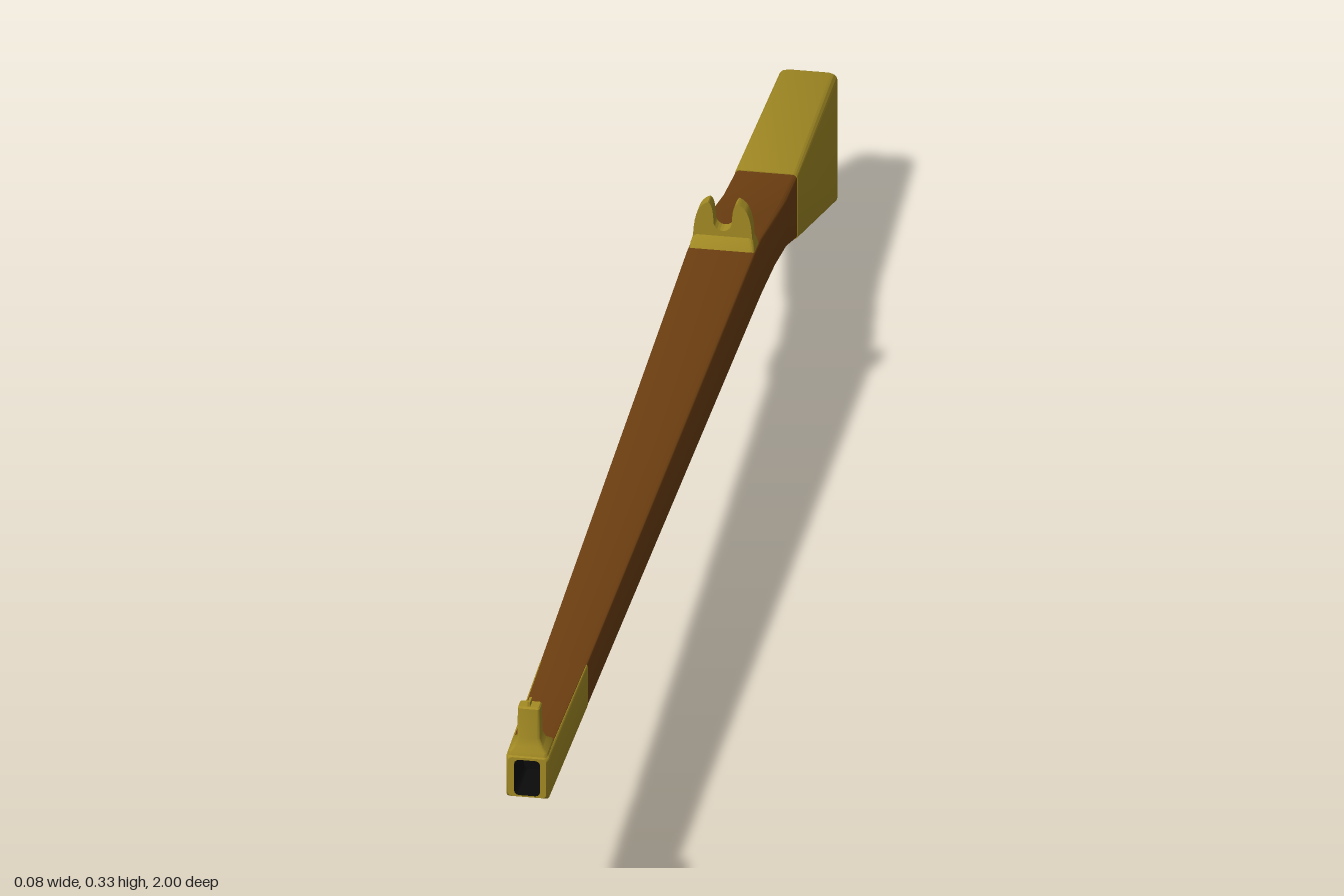
import * as THREE from 'three';
import { toCreasedNormals } from 'three/addons/utils/BufferGeometryUtils.js';

const mat = (name, color, side = THREE.FrontSide) => {
  const m = new THREE.MeshStandardMaterial({ color, side });
  m.name = name;
  return m;
};

// Loft of rounded rectangles; each section is [z, bottom, top, halfWidth, cornerRadius]
function loft(sections, capStart = true, capEnd = true) {
  const steps = 3, n = 4 * (steps + 1), pos = [], idx = [];
  for (const [z, b, t, w, r] of sections) {
    const corners = [[w - r, t - r], [r - w, t - r], [r - w, b + r], [w - r, b + r]];
    corners.forEach(([cx, cy], q) => {
      for (let i = 0; i <= steps; i++) {
        const a = (q + i / steps) * Math.PI / 2;
        pos.push(cx + r * Math.cos(a), cy + r * Math.sin(a), z);
      }
    });
  }
  for (let s = 0; s < sections.length - 1; s++) {
    for (let i = 0; i < n; i++) {
      const a = s * n + i, b = s * n + (i + 1) % n;
      idx.push(a, b, b + n, a, b + n, a + n);
    }
  }
  const last = (sections.length - 1) * n;
  for (let i = 1; i < n - 1; i++) {
    if (capStart) idx.push(0, i + 1, i);
    if (capEnd) idx.push(last, last + i, last + i + 1);
  }
  const g = new THREE.BufferGeometry();
  g.setAttribute('position', new THREE.Float32BufferAttribute(pos, 3));
  g.setIndex(idx);
  return toCreasedNormals(g, 0.6);
}

// Loft running upward; each section is [y, zMin, zMax, halfWidth, cornerRadius]
const upLoft = (sections) =>
  loft(sections.map(([y, z0, z1, w, r]) => [y, -z1, -z0, w, r])).rotateX(-Math.PI / 2);

// Side profile in (z, y), extruded across x
function sideExtrude(shape, width) {
  const bevel = 0.002;
  const g = new THREE.ExtrudeGeometry(shape, {
    depth: width - 2 * bevel, bevelThickness: bevel, bevelSize: bevel,
    bevelOffset: -bevel, bevelSegments: 1, curveSegments: 8,
  });
  g.translate(0, 0, bevel - width / 2).rotateY(-Math.PI / 2);
  return toCreasedNormals(g, 0.7);
}

const points = (list) => list.map(([x, y]) => new THREE.Vector2(x, y));

export function createModel() {
  const wood = mat('brown wood', 0x6e3f11);
  const brass = mat('brass', 0xa38b24);
  const black = mat('bore black', 0x0b0b0b);
  const model = new THREE.Group();
  const add = (name, geometry, material) => {
    const mesh = new THREE.Mesh(geometry, material);
    mesh.name = name;
    model.add(mesh);
    return mesh;
  };

  // Wooden stock, from wrist to fore end
  add('stock', loft([
    [-0.69, 0.107, 0.194, 0.038, 0.005],
    [-0.61, 0.136, 0.204, 0.039, 0.005],
    [-0.52, 0.157, 0.224, 0.041, 0.005],
    [-0.42, 0.17, 0.247, 0.042, 0.005],
    [-0.37, 0.173, 0.251, 0.042, 0.005],
    [0.74, 0.203, 0.261, 0.029, 0.003],
  ]), wood);

  // Brass butt with softened rear edges
  add('butt', loft([
    [-1, 0.01, 0.17, 0.029, 0.006],
    [-0.997, 0.004, 0.175, 0.033, 0.009],
    [-0.988, 0.002, 0.179, 0.036, 0.009],
    [-0.69, 0.106, 0.195, 0.0385, 0.005],
  ]), brass);

  // Brass muzzle with its rim, then the dark bore
  add('muzzle', loft([
    [0.74, 0.203, 0.261, 0.0295, 0.003],
    [0.994, 0.208, 0.267, 0.0265, 0.004],
    [1, 0.211, 0.264, 0.0235, 0.005],
    [1, 0.213, 0.261, 0.016, 0.006],
  ], true, false), brass);
  add('bore', loft([
    [1, 0.213, 0.261, 0.016, 0.006],
    [0.93, 0.213, 0.259, 0.016, 0.006],
  ], false, true), black);

  // Wooden strip along the top of the muzzle
  add('topStrip', loft([
    [0.739, 0.2595, 0.2615, 0.0275, 0.0005],
    [0.975, 0.265, 0.267, 0.024, 0.0005],
  ]), wood);

  // Front sight: flared foot, post and bead
  add('frontSight', upLoft([
    [0.26, 0.945, 0.998, 0.0255, 0.004],
    [0.27, 0.952, 0.997, 0.024, 0.004],
    [0.277, 0.962, 0.994, 0.018, 0.004],
    [0.288, 0.968, 0.992, 0.014, 0.003],
    [0.326, 0.97, 0.99, 0.0135, 0.003],
    [0.328, 0.972, 0.988, 0.012, 0.002],
  ]), brass);
  add('frontBead', new THREE.BoxGeometry(0.003, 0.008, 0.014).translate(0, 0.33, 0.98), brass);

  // Rear sight: flared foot and a plate with a U notch
  add('rearSightFoot', upLoft([
    [0.24, -0.412, -0.37, 0.041, 0.004],
    [0.256, -0.406, -0.376, 0.039, 0.004],
    [0.266, -0.4, -0.382, 0.036, 0.004],
  ]), brass);
  const ears = new THREE.Shape();
  ears.moveTo(-0.037, 0.25);
  ears.lineTo(0.037, 0.25);
  ears.bezierCurveTo(0.036, 0.29, 0.032, 0.305, 0.018, 0.311);
  ears.bezierCurveTo(0.013, 0.308, 0.012, 0.3, 0.011, 0.282);
  ears.bezierCurveTo(0.008, 0.27, -0.008, 0.27, -0.011, 0.282);
  ears.bezierCurveTo(-0.012, 0.3, -0.013, 0.308, -0.018, 0.311);
  ears.bezierCurveTo(-0.032, 0.305, -0.036, 0.29, -0.037, 0.25);
  const earPlate = new THREE.ExtrudeGeometry(ears, { depth: 0.018, bevelEnabled: false, curveSegments: 8 });
  add('rearSight', toCreasedNormals(earPlate.translate(0, 0, -0.4), 0.6), brass);

  // Trigger guard loop
  const guard = new THREE.Shape();
  guard.moveTo(-0.405, 0.178);
  guard.splineThru(points([[-0.414, 0.158], [-0.418, 0.135], [-0.435, 0.112], [-0.475, 0.099],
    [-0.515, 0.096], [-0.54, 0.102], [-0.558, 0.122], [-0.572, 0.152]]));
  guard.lineTo(-0.405, 0.178);
  const opening = new THREE.Path();
  opening.moveTo(-0.428, 0.16);
  opening.splineThru(points([[-0.43, 0.138], [-0.448, 0.121], [-0.48, 0.11],
    [-0.515, 0.107], [-0.534, 0.114], [-0.545, 0.13], [-0.546, 0.141]]));
  opening.lineTo(-0.428, 0.16);
  guard.holes.push(opening);
  add('triggerGuard', sideExtrude(guard, 0.031), brass);

  // Flared plate where the guard meets the stock
  add('guardPlate', loft([
    [-0.575, 0.14, 0.16, 0.019, 0.004],
    [-0.5, 0.152, 0.175, 0.02, 0.004],
    [-0.405, 0.164, 0.185, 0.021, 0.004],
  ]), brass);

  // Curved trigger
  const trigger = new THREE.Shape();
  trigger.moveTo(-0.475, 0.165);
  trigger.quadraticCurveTo(-0.505, 0.135, -0.482, 0.113);
  trigger.lineTo(-0.49, 0.112);
  trigger.quadraticCurveTo(-0.512, 0.13, -0.508, 0.16);
  add('trigger', sideExtrude(trigger, 0.014), brass);

  return model;
}
